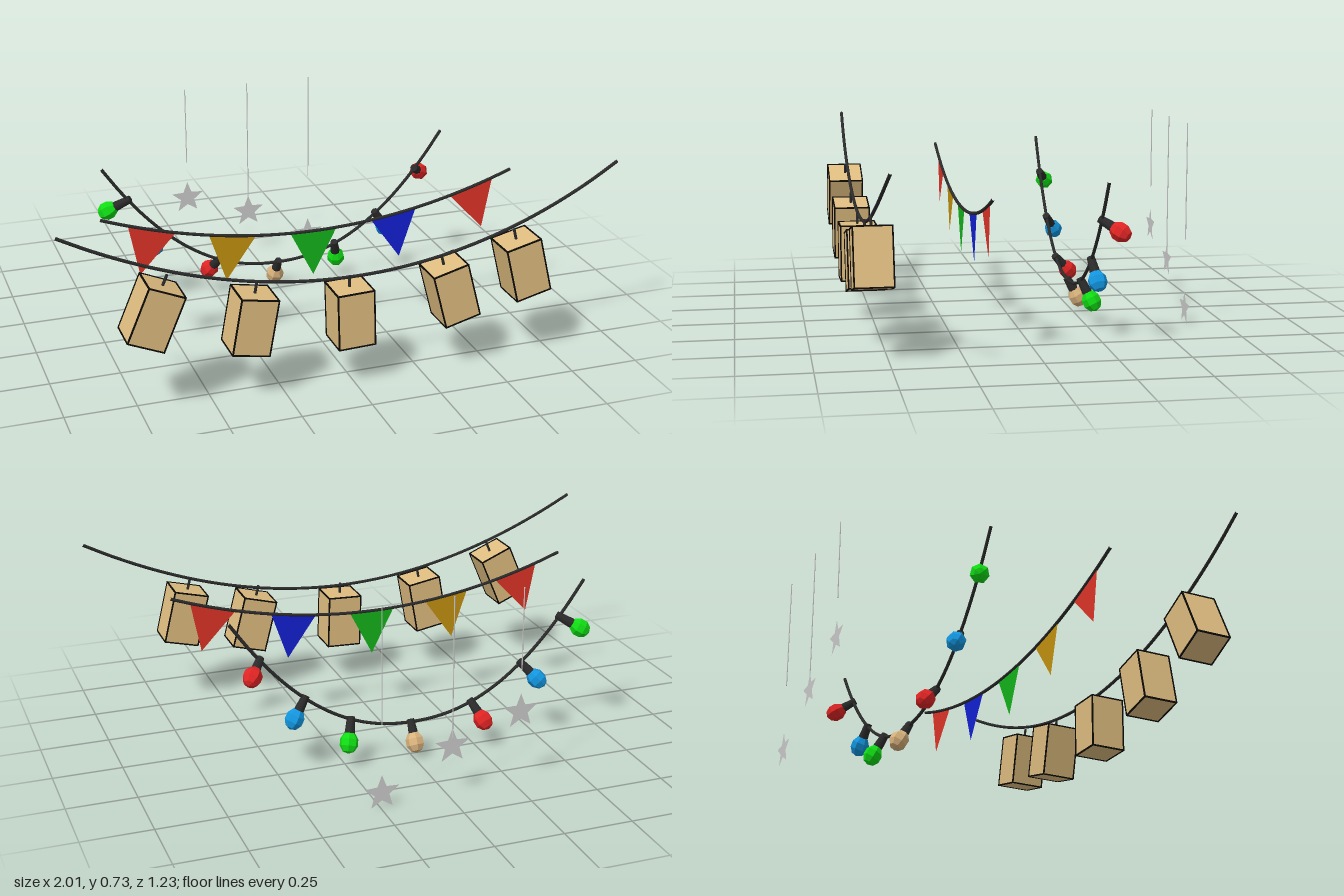
import * as THREE from 'three';

const mat = (color, extra = {}) => new THREE.MeshStandardMaterial({ color, ...extra });
const DARK = mat(0x2b2b2b);
const EDGE = mat(0x0c0a08);
const GREY = mat(0xcccccc, { side: THREE.DoubleSide });
const PAPER = mat(0xdfbd80);
const UP = new THREE.Vector3(0, 1, 0);

function add(parent, name, geometry, material, x = 0, y = 0, z = 0) {
  const m = new THREE.Mesh(geometry, material);
  m.name = name;
  m.position.set(x, y, z);
  parent.add(m);
  return m;
}

// Sagging cord through point(x) between x0 and x1
function cord(parent, name, x0, x1, point) {
  const pts = [];
  for (let i = 0; i <= 20; i++) pts.push(point(x0 + (x1 - x0) * i / 20));
  add(parent, name, new THREE.TubeGeometry(new THREE.CatmullRomCurve3(pts), 60, 0.006, 8), DARK);
}

// Paper box with thin dark bars along its twelve edges and a hook on top
function lantern(x, y, tilt) {
  const g = new THREE.Group();
  g.name = 'lantern';
  const w = 0.13, h = 0.2, t = 0.005;
  add(g, 'lanternBox', new THREE.BoxGeometry(w, h, w), PAPER);
  for (const a of [-1, 1]) for (const b of [-1, 1]) {
    add(g, 'lanternEdge', new THREE.BoxGeometry(t, h + t, t), EDGE, a * w / 2, 0, b * w / 2);
    add(g, 'lanternEdge', new THREE.BoxGeometry(w, t, t), EDGE, 0, a * h / 2, b * w / 2);
    add(g, 'lanternEdge', new THREE.BoxGeometry(t, t, w), EDGE, a * w / 2, b * h / 2, 0);
  }
  add(g, 'lanternHook', new THREE.CylinderGeometry(0.005, 0.005, 0.045, 6), DARK, 0, h / 2 + 0.018, 0);
  g.position.set(x, y, 0.55);
  g.rotation.z = THREE.MathUtils.degToRad(tilt);
  return g;
}

// Faceted bulb and tapered socket reaching from the cord to the bulb centre
function bulb(from, to, color) {
  const g = new THREE.Group();
  g.name = 'lightBulb';
  const dir = to.clone().sub(from), len = dir.length();
  add(g, 'bulbSocket', new THREE.CylinderGeometry(0.02, 0.014, len, 8), DARK, 0, len / 2 - 0.01, 0);
  const glass = add(g, 'bulbGlass', new THREE.SphereGeometry(0.035, 7, 5), mat(color, { flatShading: true }), 0, len, 0);
  glass.scale.y = 1.15;
  g.position.copy(from);
  g.quaternion.setFromUnitVectors(UP, dir.normalize());
  return g;
}

function starShape(R, r) {
  const s = new THREE.Shape();
  for (let i = 0; i < 10; i++) {
    const a = Math.PI / 2 + i * Math.PI / 5, q = i % 2 ? r : R;
    s[i ? 'lineTo' : 'moveTo'](q * Math.cos(a), q * Math.sin(a));
  }
  return s;
}

export function createModel() {
  const root = new THREE.Group();
  root.name = 'partyGarlands';

  // Front garland: paper lanterns
  const lanterns = new THREE.Group();
  lanterns.name = 'lanternGarland';
  cord(lanterns, 'lanternCord', -1, 1, x => new THREE.Vector3(
    x, 0.39 + (x < 0 ? 0.275 : 0.288) * x * x,
    0.545 - (x < 0 ? 0.006 : 0.025) * Math.abs(x) ** 4));
  for (const [x, y, tilt] of [[-0.7, 0.365, -23], [-0.365, 0.285, -10], [-0.008, 0.257, 2],
    [0.36, 0.292, 15], [0.63, 0.35, 14]]) lanterns.add(lantern(x, y, tilt));
  root.add(lanterns);

  // Middle garland: triangular flags square to the cord
  const bunting = new THREE.Group();
  bunting.name = 'flagGarland';
  const buntY = x => 0.411 + 0.143 * ((x + 0.01) / 0.77) ** 2;
  cord(bunting, 'flagCord', -0.78, 0.76, x => new THREE.Vector3(x, buntY(x), 0.17));
  const flagShape = new THREE.Shape([[-0.087, 0], [0, -0.17], [0.087, 0]].map(p => new THREE.Vector2(...p)));
  const flagGeo = new THREE.ShapeGeometry(flagShape);
  [[-0.6, 0xe03428], [-0.31, 0xc4920e], [-0.008, 0x14b41a], [0.3, 0x1220d4], [0.605, 0xe03428]].forEach(([x, c]) => {
    const f = add(bunting, 'flag', flagGeo, mat(c, { side: THREE.DoubleSide }), x, buntY(x), 0.17);
    f.rotation.z = Math.atan((buntY(x + 0.01) - buntY(x - 0.01)) / 0.02);
  });
  root.add(bunting);

  // Rear garland: coloured bulbs
  const lights = new THREE.Group();
  lights.name = 'bulbGarland';
  const lightPoint = x => new THREE.Vector3(x, 0.122 + 0.463 * Math.abs((x + 0.015) / 0.67) ** 2.2, -0.233);
  cord(lights, 'bulbCord', -0.685, 0.655, lightPoint);
  const R = 0xe02424, G = 0x10dd14, B = 0x1296e0, T = 0xd9b27c;
  for (const [ax, x, y, z, c] of [
    [-0.59, -0.66, 0.41, -0.264, G], [-0.44, -0.49, 0.235, -0.27, B], [-0.245, -0.272, 0.11, -0.284, R],
    [-0.01, -0.012, 0.058, -0.27, T], [0.22, 0.24, 0.095, -0.268, G], [0.39, 0.432, 0.207, -0.246, B],
    [0.55, 0.592, 0.405, -0.288, R]]) lights.add(bulb(lightPoint(ax), new THREE.Vector3(x, y, z), c));
  root.add(lights);

  // Flat stars hanging below fine threads at the back
  const stars = new THREE.Group();
  stars.name = 'hangingStars';
  const starGeo = new THREE.ShapeGeometry(starShape(0.066, 0.028));
  for (const [x, low, y] of [[-0.264, 0.43, 0.28], [-0.012, 0.22, 0.19], [0.243, 0.31, 0.058]]) {
    add(stars, 'starThread', new THREE.CylinderGeometry(0.002, 0.002, 0.73 - low, 6), GREY, x, (0.73 + low) / 2, -0.612);
    add(stars, 'star', starGeo, GREY, x, y, -0.612);
  }
  root.add(stars);

  return root;
}
